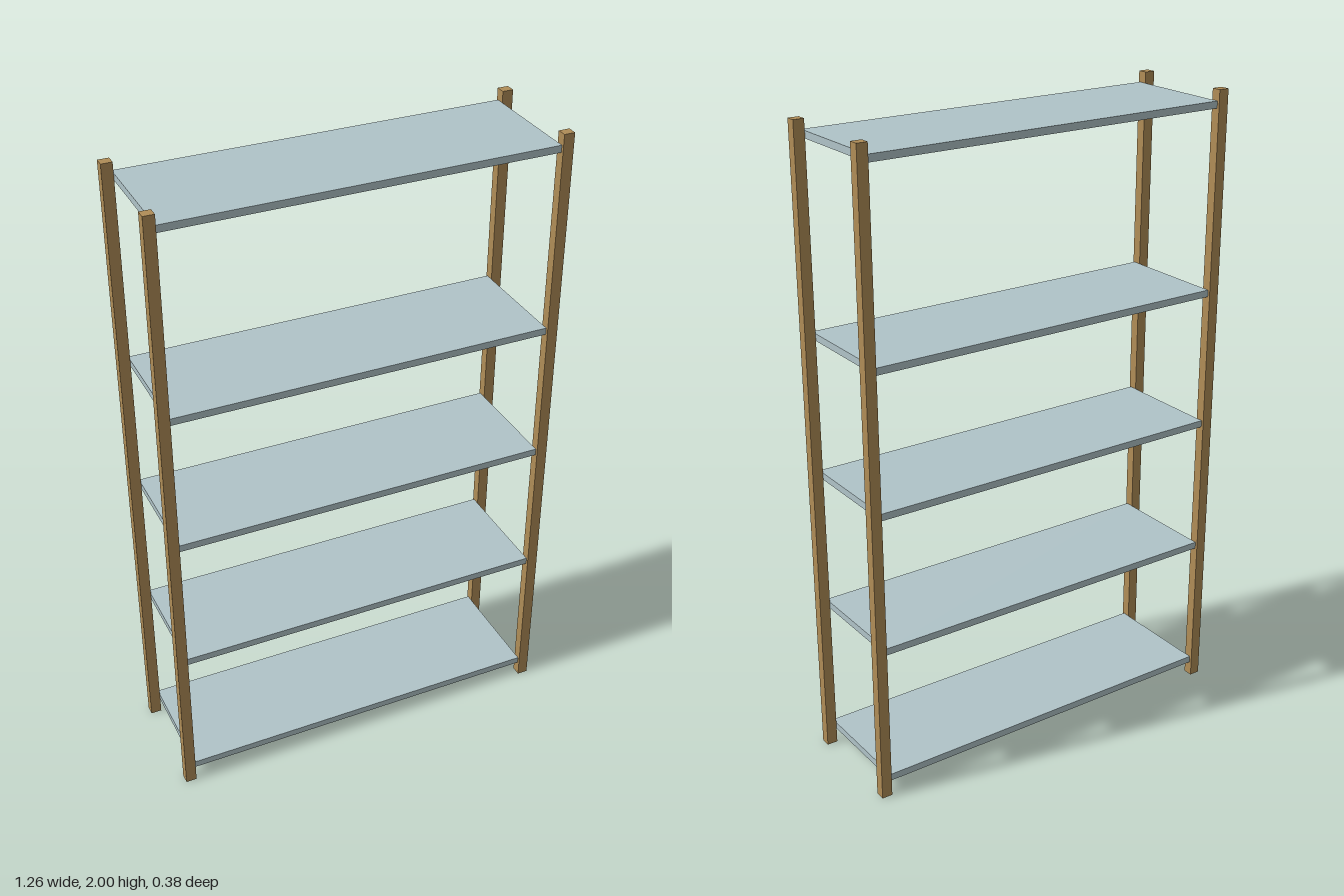
import * as THREE from 'three';

export function createModel() {
  const group = new THREE.Group();
  const wood = new THREE.MeshStandardMaterial({ color: 0xb08d57 });
  const panel = new THREE.MeshStandardMaterial({ color: 0xb0c4c8 });

  const addBox = (name, size, position, material) => {
    const mesh = new THREE.Mesh(new THREE.BoxGeometry(...size), material);
    mesh.name = name;
    mesh.position.set(...position);
    group.add(mesh);
  };

  // Four corner posts
  for (const [xName, x] of [['Left', 0.611], ['Right', -0.611]]) {
    for (const [zName, z] of [['front', 0.172], ['back', -0.172]]) {
      addBox(`${zName}${xName}Post`, [0.034, 2, 0.031], [x, 1, z], wood);
    }
  }

  // Five shelves between the posts, with a taller bay at the top
  [0.058, 0.496, 0.933, 1.371, 1.955].forEach((y, i) => {
    addBox(`shelf${i + 1}`, [1.186, 0.022, 0.361], [0, y, 0], panel);
  });

  return group;
}
